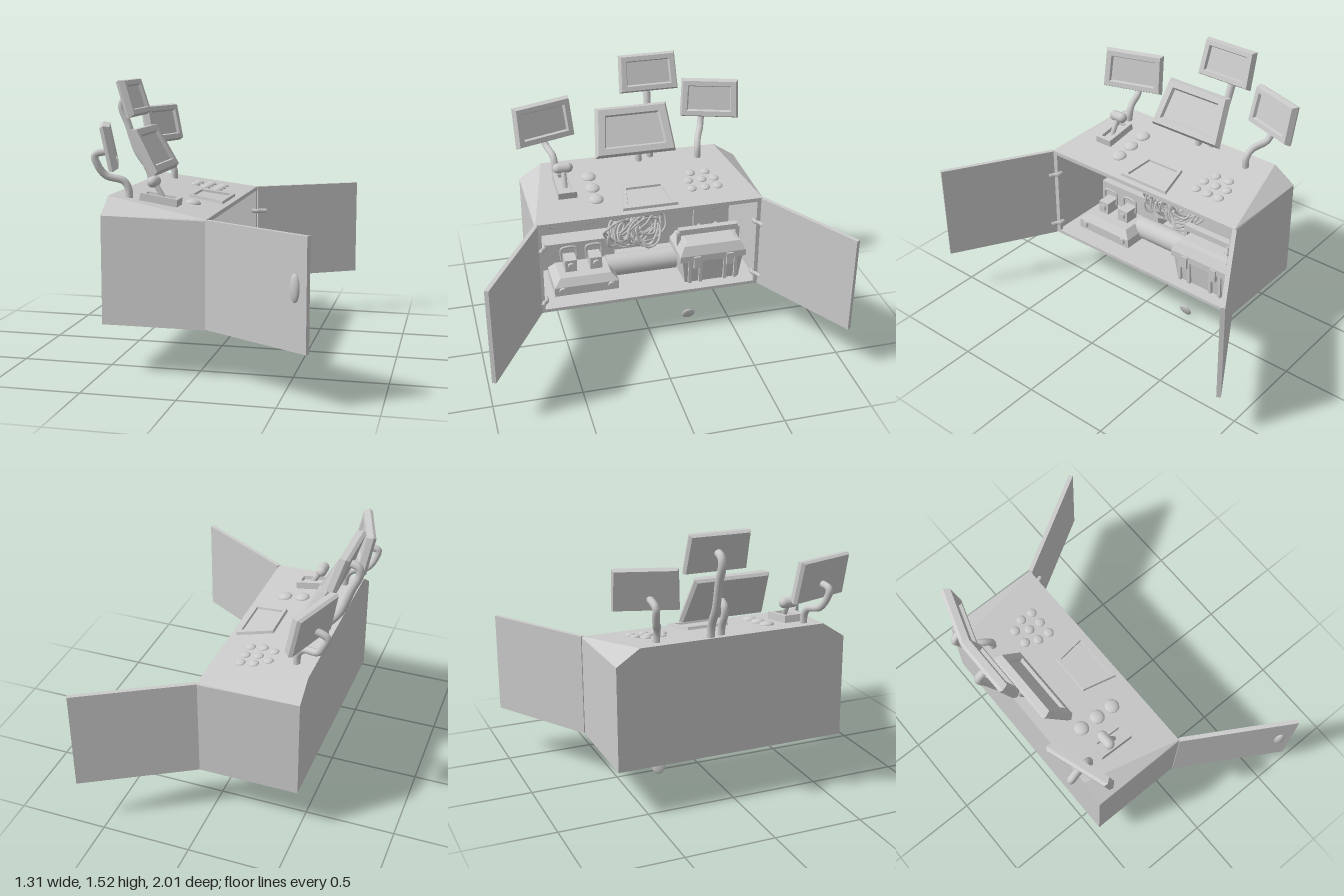
import * as THREE from 'three';
import { ConvexGeometry } from 'three/addons/geometries/ConvexGeometry.js';

const V = (x, y, z) => new THREE.Vector3(x, y, z);
const smooth = new THREE.MeshStandardMaterial({ color: 0xcccccc });
const flat = new THREE.MeshStandardMaterial({ color: 0xcccccc, flatShading: true });

function add(parent, name, geo, x = 0, y = 0, z = 0, mat = flat) {
  const m = new THREE.Mesh(geo, mat);
  m.name = name;
  m.position.set(x, y, z);
  parent.add(m);
  return m;
}
// box given by its limits
function box(parent, name, x0, x1, y0, y1, z0, z1) {
  return add(parent, name, new THREE.BoxGeometry(x1 - x0, y1 - y0, z1 - z0),
    (x0 + x1) / 2, (y0 + y1) / 2, (z0 + z1) / 2);
}
function tube(parent, name, pts, r, sides = 10, closed = false, seg = 32) {
  const curve = new THREE.CatmullRomCurve3(pts.map(p => V(...p)), closed, 'centripetal');
  return add(parent, name, new THREE.TubeGeometry(curve, seg, r, sides, closed), 0, 0, 0, smooth);
}
// rectangular loops [width, height, z] lofted along z, capped; taper narrows the top
function loft(loops, taper = 0) {
  const pos = [], idx = [];
  for (const [w, h, z] of loops)
    for (const [sx, sy] of [[-1, -1], [1, -1], [1, 1], [-1, 1]])
      pos.push(sx * w / 2 * (1 - taper * sy), sy * h / 2, z);
  for (let i = 0; i < loops.length - 1; i++)
    for (let j = 0; j < 4; j++) {
      const a = i * 4 + j, b = i * 4 + (j + 1) % 4;
      idx.push(a, b, b + 4, a, b + 4, a + 4);
    }
  const n = (loops.length - 1) * 4;
  idx.push(0, 2, 1, 0, 3, 2, n, n + 1, n + 2, n, n + 2, n + 3);
  const g = new THREE.BufferGeometry();
  g.setAttribute('position', new THREE.Float32BufferAttribute(pos, 3));
  g.setIndex(idx);
  const out = g.toNonIndexed();
  out.computeVertexNormals();
  return out;
}
const upward = loops => loft(loops).rotateX(-Math.PI / 2); // loops [x size, z size, y]

function cabinet(root) {
  const g = new THREE.Group();
  g.name = 'cabinet';
  root.add(g);
  box(g, 'floor', -0.495, 0.07, 0.27, 0.29, -0.66, 0.66);
  box(g, 'backWall', -0.495, -0.475, 0.29, 0.84, -0.66, 0.66);
  for (const s of [-1, 1]) {
    const z = [s * 0.66, s * 0.64].sort((a, b) => a - b);
    box(g, 'sideWall', -0.475, 0.07, 0.29, 0.84, ...z);
    const f = [s * 0.64, s * 0.625].sort((a, b) => a - b);
    box(g, 'doorJamb', 0.05, 0.07, 0.29, 0.84, ...f);
  }
  box(g, 'lintel', 0.05, 0.07, 0.825, 0.842, -0.64, 0.64);
  // sloping lid with cut corners
  const pts = [];
  for (const s of [-1, 1])
    pts.push(V(-0.495, 0.84, s * 0.66), V(0.07, 0.84, s * 0.66), V(-0.495, 0.85, s * 0.66),
      V(0.07, 0.848, s * 0.655), V(-0.495, 0.937, s * 0.53));
  add(g, 'consoleTop', new ConvexGeometry(pts));
}

function doors(root) {
  for (const s of [-1, 1]) {
    const g = new THREE.Group();
    g.name = s > 0 ? 'leftDoor' : 'rightDoor';
    g.position.set(0.072, 0, s * 0.655);
    g.rotation.y = -s * 0.53;
    root.add(g);
    box(g, 'doorPanel', 0, 0.668, 0.275, 0.848, -0.012, 0.012);
    if (s > 0)
      add(g, 'doorHandle', new THREE.SphereGeometry(1, 20, 12), 0.597, 0.59, 0.014, smooth).scale.set(0.029, 0.072, 0.018);
    for (const y of [0.355, 0.7]) {
      const pts = [[0.05, y, s * 0.615], [0.08, y, s * 0.615], [0.095, y, s * 0.63], [0.13, y, s * 0.645]];
      tube(root, 'hinge', pts, 0.013, 6, false, 10);
    }
  }
  // handle lying loose below the cabinet
  const h = add(root, 'looseHandle', new THREE.SphereGeometry(1, 20, 12), -0.043, 0.04, -0.26, smooth);
  h.scale.set(0.011, 0.04, 0.04);
  h.rotation.z = -0.34;
}

function monitor(root, x, y, z, w, h, yaw, tilt, taper, arm, r) {
  const g = new THREE.Group();
  g.name = 'monitor';
  g.position.set(x, y, z);
  g.rotation.order = 'YXZ';
  g.rotation.set(-tilt, Math.PI / 2 + yaw, 0);
  root.add(g);
  add(g, 'monitorHousing', loft([[w * 0.94, h * 0.94, -0.03], [w, h, -0.012], [w * 0.93, h * 0.9, 0.022],
    [w * 0.76, h * 0.66, 0.022], [w * 0.72, h * 0.6, 0.004]], taper));
  tube(root, 'monitorArm', arm, r);
}

function consoleControls(root) {
  const slope = -0.157; // lean of the console top
  const topY = x => 0.859 - 0.157 * x;
  // touch pad with a sunken face
  const pad = add(root, 'touchPad', upward([[0.21, 0.285, 0], [0.2, 0.275, 0.022], [0.165, 0.23, 0.022], [0.16, 0.225, 0.01]]),
    -0.065, topY(-0.065) - 0.006, -0.005);
  pad.rotation.z = slope;
  const p = pad.geometry.attributes.position;
  for (let i = 0; i < p.count; i++) p.setZ(i, p.getZ(i) * (1 + 1.4 * p.getX(i)));
  pad.geometry.computeVertexNormals();

  const button = (x, z, r) => {
    const b = add(root, 'button', new THREE.SphereGeometry(1, 16, 8, 0, Math.PI * 2, 0, Math.PI / 2), x, topY(x), z, smooth);
    b.scale.set(r, r * 0.5, r);
    b.rotation.z = slope;
  };
  for (const x of [-0.165, -0.09]) for (const z of [-0.435, -0.36, -0.28]) button(x, z, 0.028);
  for (const z of [-0.4, -0.31]) button(-0.235, z, 0.028);
  for (const x of [-0.31, -0.2, -0.095]) button(x, 0.28, 0.042);

  // lever in a slotted box
  const base = add(root, 'leverBase', upward([[0.21, 0.11, -0.02], [0.205, 0.105, 0.04], [0.16, 0.055, 0.04], [0.155, 0.05, 0.02]]),
    -0.235, topY(-0.235), 0.435);
  base.rotation.z = slope;
  tube(root, 'leverStick', [[-0.21, 0.9, 0.435], [-0.235, 0.95, 0.435], [-0.27, 1.005, 0.435]], 0.015, 8, false, 8);
  add(root, 'leverGrip', new THREE.CapsuleGeometry(0.03, 0.055, 6, 14).rotateX(Math.PI / 2), -0.27, 1.007, 0.435, smooth);
}

function fittings(root) {
  // bolted plates on the back wall
  for (const z of [0.235, -0.24]) {
    const pl = add(root, 'wallPlate', loft([[0.32, 0.155, 0], [0.32, 0.155, 0.02], [0.26, 0.11, 0.05]]), -0.475, 0.715, z);
    pl.rotation.y = Math.PI / 2;
    for (const dz of [-0.09, 0.09]) for (const dy of [-0.03, 0.03])
      add(root, 'bolt', new THREE.SphereGeometry(0.014, 10, 6), -0.425, 0.715 + dy, z + dz, smooth);
  }
  for (const s of [-1, 1]) {
    box(root, 'sidePlate', -0.475, -0.455, 0.35, 0.77, s * 0.495 - 0.09, s * 0.495 + 0.09);
    for (const dz of [-0.055, 0.055]) for (const y of [0.4, 0.72])
      add(root, 'bolt', new THREE.SphereGeometry(0.014, 10, 6), -0.455, y, s * 0.495 + dz, smooth);
  }
  // hooks hanging from the ceiling
  for (const [z, d] of [[0.56, -1], [0.26, 1], [0.1, 1], [-0.14, 1], [-0.33, 1], [-0.5, 1]])
    tube(root, 'hook', [[-0.2, 0.845, z], [-0.2, 0.76, z], [-0.2, 0.695, z], [-0.2, 0.672, z + d * 0.018], [-0.2, 0.668, z + d * 0.06]], 0.01, 8, false, 16);
}

function contents(root) {
  // tangled cable
  let seed = 7;
  const rnd = () => (seed = (seed * 16807) % 2147483647) / 2147483647;
  for (let i = 0; i < 18; i++) {
    const cz = (rnd() - 0.5) * 0.22, cy = (rnd() - 0.5) * 0.06, a = rnd() * 3, pts = [];
    const r = 0.06 + rnd() * 0.045;
    for (let k = 0; k < 9; k++) {
      const t = k / 9 * Math.PI * 2, q = r * (0.8 + 0.4 * rnd());
      pts.push([-0.28 + Math.sin(t + a) * 0.06 + (rnd() - 0.5) * 0.03, 0.54 + cy + Math.sin(t) * q, 0.02 + cz + Math.cos(t) * q]);
    }
    tube(root, 'cable', pts, 0.007, 5, true, 48);
  }
  // rolled bundle
  add(root, 'roll', new THREE.CylinderGeometry(0.065, 0.065, 0.42, 24).rotateX(Math.PI / 2), -0.2, 0.357, 0, smooth);

  // toolbox
  const t = new THREE.Group();
  t.name = 'toolbox';
  t.position.set(-0.11, 0.29, -0.39);
  root.add(t);
  add(t, 'toolboxBody', upward([[0.2, 0.33, 0], [0.23, 0.37, 0.16]]));
  add(t, 'toolboxLid', upward([[0.25, 0.4, 0.15], [0.25, 0.4, 0.19], [0.2, 0.34, 0.245], [0.13, 0.29, 0.25]]));
  for (const z of [-0.14, -0.075, 0.075, 0.14])
    for (const s of [-1, 1])
      box(t, 'rib', s * 0.11 - 0.012, s * 0.11 + 0.012, 0.005, 0.15, z - 0.009, z + 0.009);
  for (const z of [-0.1, 0.1]) box(t, 'latch', 0.115, 0.137, 0.11, 0.185, z - 0.02, z + 0.02);
  for (const s of [-1, 1]) box(t, 'handleLeg', -0.015, 0.015, 0.17, 0.29, s * 0.18 - 0.012, s * 0.18 + 0.012);
  box(t, 'handleBar', -0.02, 0.02, 0.275, 0.31, -0.18, 0.18);

  // equipment case with two gauges and carrying frames
  const c = new THREE.Group();
  c.name = 'equipmentCase';
  c.position.set(-0.15, 0.29, 0.36);
  root.add(c);
  add(c, 'caseBody', upward([[0.24, 0.38, 0.01], [0.24, 0.38, 0.065], [0.18, 0.3, 0.11]]));
  box(c, 'caseBack', -0.25, -0.13, 0.04, 0.21, -0.22, 0.22);
  for (const z of [-0.145, 0.145])
    add(c, 'caseKnob', new THREE.CylinderGeometry(0.02, 0.02, 0.02, 14).rotateZ(Math.PI / 2), 0.125, 0.045, z);
  for (const z of [-0.075, 0.075]) {
    box(c, 'gaugeBlock', -0.06, 0.03, 0.1, 0.185, z - 0.035, z + 0.035);
    add(c, 'gauge', new THREE.CylinderGeometry(0.02, 0.02, 0.02, 14).rotateZ(Math.PI / 2), 0.035, 0.15, z);
    tube(c, 'frame', [[-0.04, 0.15, z - 0.045], [-0.04, 0.225, z - 0.045], [-0.04, 0.235, z - 0.03],
      [-0.04, 0.235, z + 0.03], [-0.04, 0.225, z + 0.045], [-0.04, 0.15, z + 0.045]], 0.007, 6);
  }
}

export function createModel() {
  const root = new THREE.Group();
  root.name = 'controlConsole';
  cabinet(root);
  doors(root);
  // side screens, high screen and large middle screen with their bent arms
  monitor(root, -0.49, 1.2, 0.5, 0.37, 0.24, 0.32, 0.2, 0.02,
    [[-0.4, 0.9, 0.46], [-0.405, 0.97, 0.46], [-0.43, 1.01, 0.465], [-0.52, 1.04, 0.49], [-0.56, 1.1, 0.51], [-0.57, 1.15, 0.515], [-0.5, 1.17, 0.5]], 0.02);
  monitor(root, -0.49, 1.245, -0.495, 0.34, 0.23, -0.32, 0.2, 0.02,
    [[-0.39, 0.9, -0.4], [-0.395, 0.98, -0.4], [-0.43, 1.02, -0.41], [-0.52, 1.05, -0.45], [-0.555, 1.11, -0.465], [-0.57, 1.16, -0.47], [-0.5, 1.2, -0.48]], 0.02);
  monitor(root, -0.555, 1.42, -0.135, 0.345, 0.22, 0, 0.3, 0.025,
    [[-0.45, 0.9, -0.12], [-0.465, 1.0, -0.12], [-0.54, 1.11, -0.13], [-0.6, 1.27, -0.14], [-0.635, 1.36, -0.14], [-0.625, 1.4, -0.14], [-0.56, 1.42, -0.14]], 0.022);
  monitor(root, -0.4, 1.135, -0.01, 0.455, 0.29, 0, 0.5, 0.065,
    [[-0.42, 0.9, -0.045], [-0.43, 0.98, -0.045], [-0.46, 1.04, -0.045], [-0.46, 1.09, -0.045], [-0.41, 1.12, -0.045]], 0.02);
  consoleControls(root);
  fittings(root);
  contents(root);
  return root;
}
